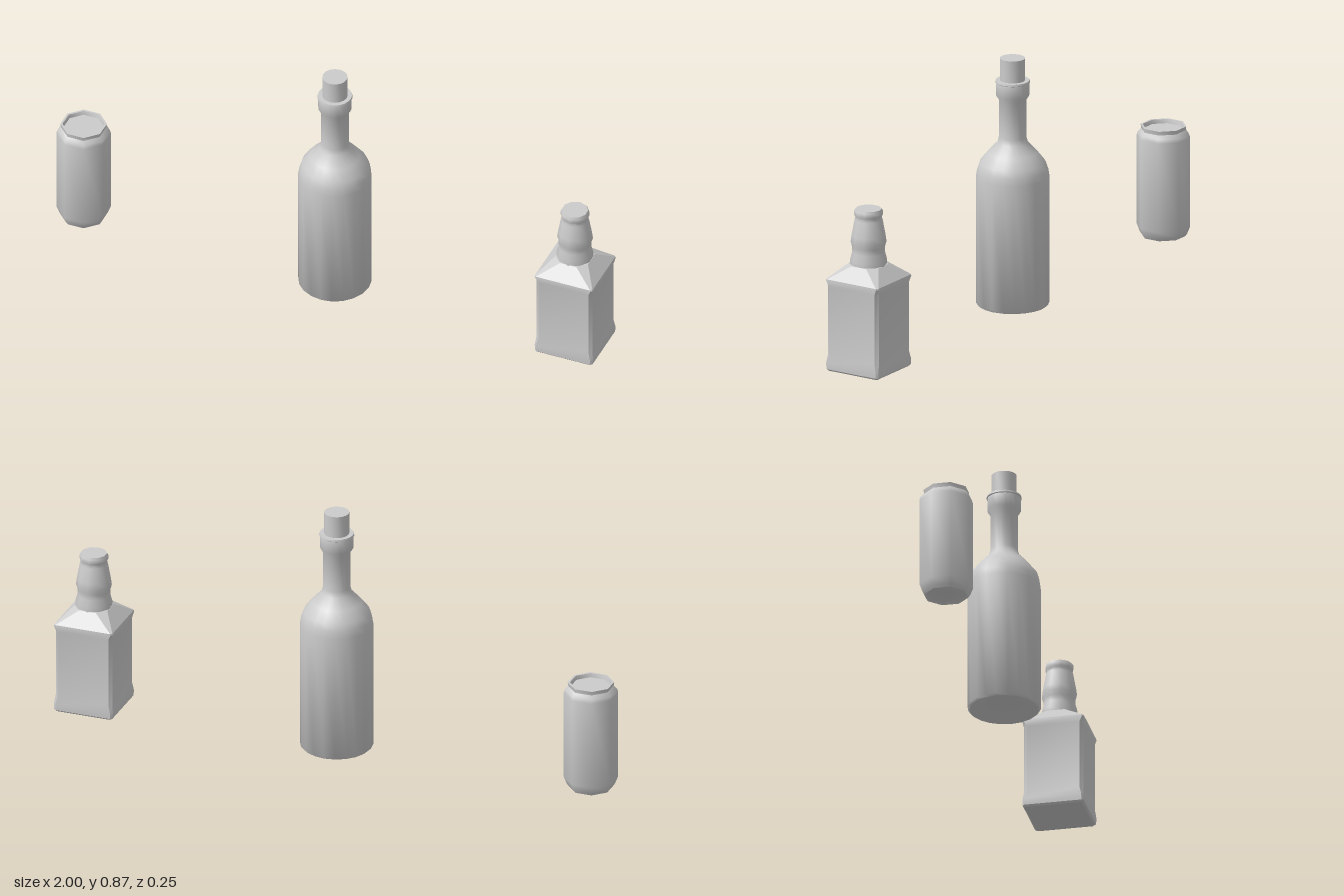
import * as THREE from 'three';
import { toCreasedNormals } from 'three/addons/utils/BufferGeometryUtils.js';

const material = new THREE.MeshStandardMaterial({ color: 0xcccccc, side: THREE.DoubleSide });

function addMesh(parent, name, geometry, crease = 0.85) {
  const mesh = new THREE.Mesh(toCreasedNormals(geometry, crease), material);
  mesh.name = name;
  parent.add(mesh);
}

// Turned part from [radius, height] pairs; flats sets the flat sides square to the axes
function turned(profile, sides, flats = false) {
  const scale = flats ? 1 / Math.cos(Math.PI / sides) : 1;
  const points = profile.map(([r, y]) => new THREE.Vector2(r * scale, y));
  return new THREE.LatheGeometry(points, sides, flats ? Math.PI / sides : 0);
}

// Square body from [half width, corner chamfer, height] rings, closed at both ends
function squareBody(rings) {
  const positions = [], index = [];
  for (const [h, c, y] of rings) {
    const i = h - c;
    for (const [x, z] of [[-i, h], [i, h], [h, i], [h, -i], [i, -h], [-i, -h], [-h, -i], [-h, i]])
      positions.push(x, y, z);
  }
  for (let r = 0; r < rings.length - 1; r++) {
    for (let k = 0; k < 8; k++) {
      const a = r * 8 + k, b = r * 8 + (k + 1) % 8;
      index.push(a, b, b + 8, a, b + 8, a + 8);
    }
  }
  const top = (rings.length - 1) * 8;
  for (let k = 1; k < 7; k++) {
    index.push(0, k + 1, k);
    index.push(top, top + k, top + k + 1);
  }
  const geometry = new THREE.BufferGeometry();
  geometry.setAttribute('position', new THREE.Float32BufferAttribute(positions, 3));
  geometry.setIndex(index);
  return geometry;
}

function makeCan() {
  const can = new THREE.Group();
  can.name = 'can';
  // Octagonal shell with tapered base and sunken lid
  addMesh(can, 'canShell', turned([
    [0, 0.012], [0.062, 0.012], [0.07, 0.004], [0.076, 0.014], [0.0855, 0.04],
    [0.0855, 0.355], [0.082, 0.368], [0.071, 0.38], [0.073, 0.394],
    [0.066, 0.394], [0.063, 0.38], [0, 0.38],
  ], 8, true));
  can.position.x = -0.9145;
  return can;
}

function makeRoundBottle() {
  const bottle = new THREE.Group();
  bottle.name = 'roundBottle';
  // Glass with a hollow under the base and a collar at the mouth
  addMesh(bottle, 'bottleGlass', turned([
    [0, 0.035], [0.06, 0.026], [0.105, 0.006], [0.118, 0], [0.125, 0.007],
    [0.125, 0.455], [0.121, 0.48], [0.113, 0.505], [0.085, 0.54], [0.052, 0.575],
    [0.047, 0.595], [0.047, 0.727], [0.057, 0.743], [0.057, 0.787],
    [0.06, 0.789], [0.058, 0.796], [0.04, 0.796],
  ], 20));
  // Cork
  addMesh(bottle, 'cork', turned([
    [0.043, 0.78], [0.043, 0.874], [0, 0.874],
  ], 16));
  bottle.position.x = 0.01;
  return bottle;
}

function makeSquareBottle() {
  const bottle = new THREE.Group();
  bottle.name = 'squareBottle';
  // Body with chamfered corners and sloped shoulders
  addMesh(bottle, 'squareBody', squareBody([
    [0.1, 0.006, 0.002], [0.106, 0.007, 0.008], [0.107, 0.008, 0.03], [0.103, 0.011, 0.06],
    [0.103, 0.011, 0.302], [0.107, 0.006, 0.322], [0.106, 0.006, 0.327], [0.06, 0.03, 0.374],
  ]), 0.5);
  // Neck with a swelling and a lip
  addMesh(bottle, 'squareBottleNeck', turned([
    [0.062, 0.368], [0.063, 0.39], [0.056, 0.415], [0.056, 0.435], [0.061, 0.452],
    [0.058, 0.475], [0.048, 0.53], [0.045, 0.54], [0.049, 0.549], [0.049, 0.562],
    [0.045, 0.569], [0, 0.569],
  ], 10));
  bottle.position.x = 0.893;
  return bottle;
}

export function createModel() {
  const model = new THREE.Group();
  model.name = 'drinkContainers';
  model.add(makeCan(), makeRoundBottle(), makeSquareBottle());
  return model;
}
